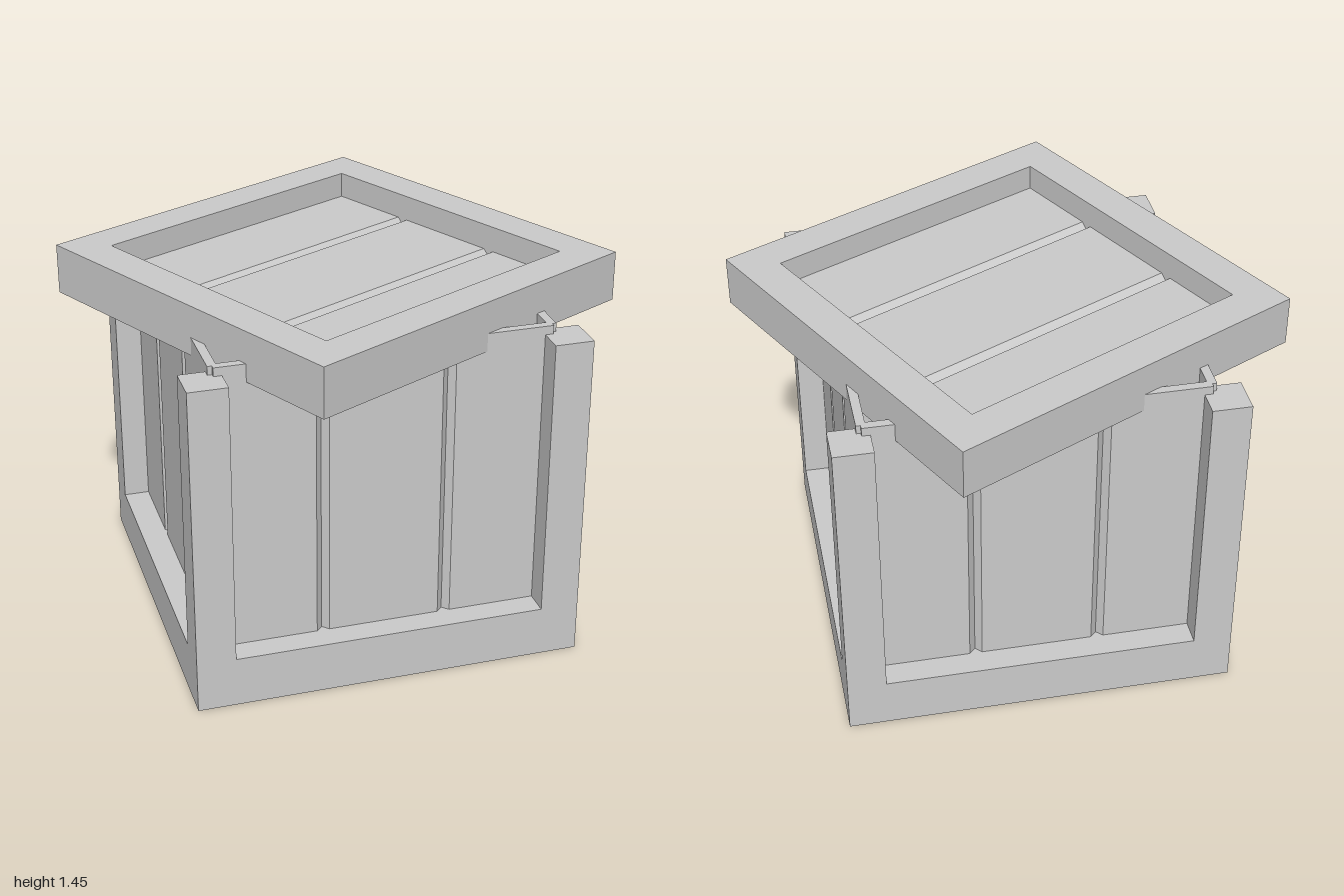
import * as THREE from 'three';

const material = new THREE.MeshStandardMaterial({ color: 0xcccccc, flatShading: true });

const OUT = 0.745;   // half width of the frames
const IN = 0.597;    // half width of the frame openings
const PANEL = 0.628; // half width of the plank panels
const FACE = 0.645;  // distance of a wall's outer face from the middle

function addMesh(parent, name, geometry) {
  const mesh = new THREE.Mesh(geometry, material);
  mesh.name = name;
  parent.add(mesh);
  return mesh;
}

// Square frame with an open middle, lying flat from y = 0 to y = height
function frameGeometry(height) {
  const square = (Type, h) => new Type([[-h, -h], [h, -h], [h, h], [-h, h]].map(([x, y]) => new THREE.Vector2(x, y)));
  const shape = square(THREE.Shape, OUT);
  shape.holes.push(square(THREE.Path, IN));
  return new THREE.ExtrudeGeometry(shape, { depth: height, bevelEnabled: false }).rotateX(-Math.PI / 2);
}

// Three planks divided by two V grooves: outer face at y = 0, grooves along z
function panelGeometry(length) {
  const thick = 0.034, half = 0.024, depth = 0.024;
  const shape = new THREE.Shape();
  shape.moveTo(-PANEL, -thick);
  shape.lineTo(PANEL, -thick);
  shape.lineTo(PANEL, 0);
  for (const x of [0.237, -0.237]) {
    shape.lineTo(x + half, 0);
    shape.lineTo(x, -depth);
    shape.lineTo(x - half, 0);
  }
  shape.lineTo(-PANEL, 0);
  shape.closePath();
  return new THREE.ExtrudeGeometry(shape, { depth: length, bevelEnabled: false }).translate(0, 0, -length / 2);
}

export function createModel() {
  const model = new THREE.Group();
  model.name = 'crate';

  // Base: frame with a plank floor set into it, grooves facing down
  addMesh(model, 'baseFrame', frameGeometry(0.197));
  const floor = addMesh(model, 'floorPanel', panelGeometry(PANEL * 2).rotateY(Math.PI / 2).rotateX(Math.PI));
  floor.position.y = 0.1;

  // Corner posts
  const postWidth = OUT - IN, postBottom = 0.197, postTop = 1.297;
  for (const sx of [-1, 1]) {
    for (const sz of [-1, 1]) {
      const post = addMesh(model, 'cornerPost', new THREE.BoxGeometry(postWidth, postTop - postBottom, postWidth));
      post.position.set(sx * (OUT + IN) / 2, (postTop + postBottom) / 2, sz * (OUT + IN) / 2);
    }
  }

  // Four plank walls, set back from the frame
  const wallBottom = 0.115, wallTop = 1.33;
  for (let i = 0; i < 4; i++) {
    const wall = addMesh(model, 'wallPanel',
      panelGeometry(wallTop - wallBottom).rotateX(Math.PI / 2).translate(0, (wallTop + wallBottom) / 2, FACE));
    wall.rotation.y = i * Math.PI / 2;
  }

  // Lid: twisted frame with a recessed plank panel
  const lid = new THREE.Group();
  lid.name = 'lid';
  lid.position.y = 1.26;
  lid.rotation.y = THREE.MathUtils.degToRad(26.4);
  addMesh(lid, 'lidFrame', frameGeometry(0.193));
  const lidPanel = addMesh(lid, 'lidPanel', panelGeometry(PANEL * 2).rotateY(Math.PI / 2));
  lidPanel.position.y = 0.093;
  model.add(lid);

  return model;
}
